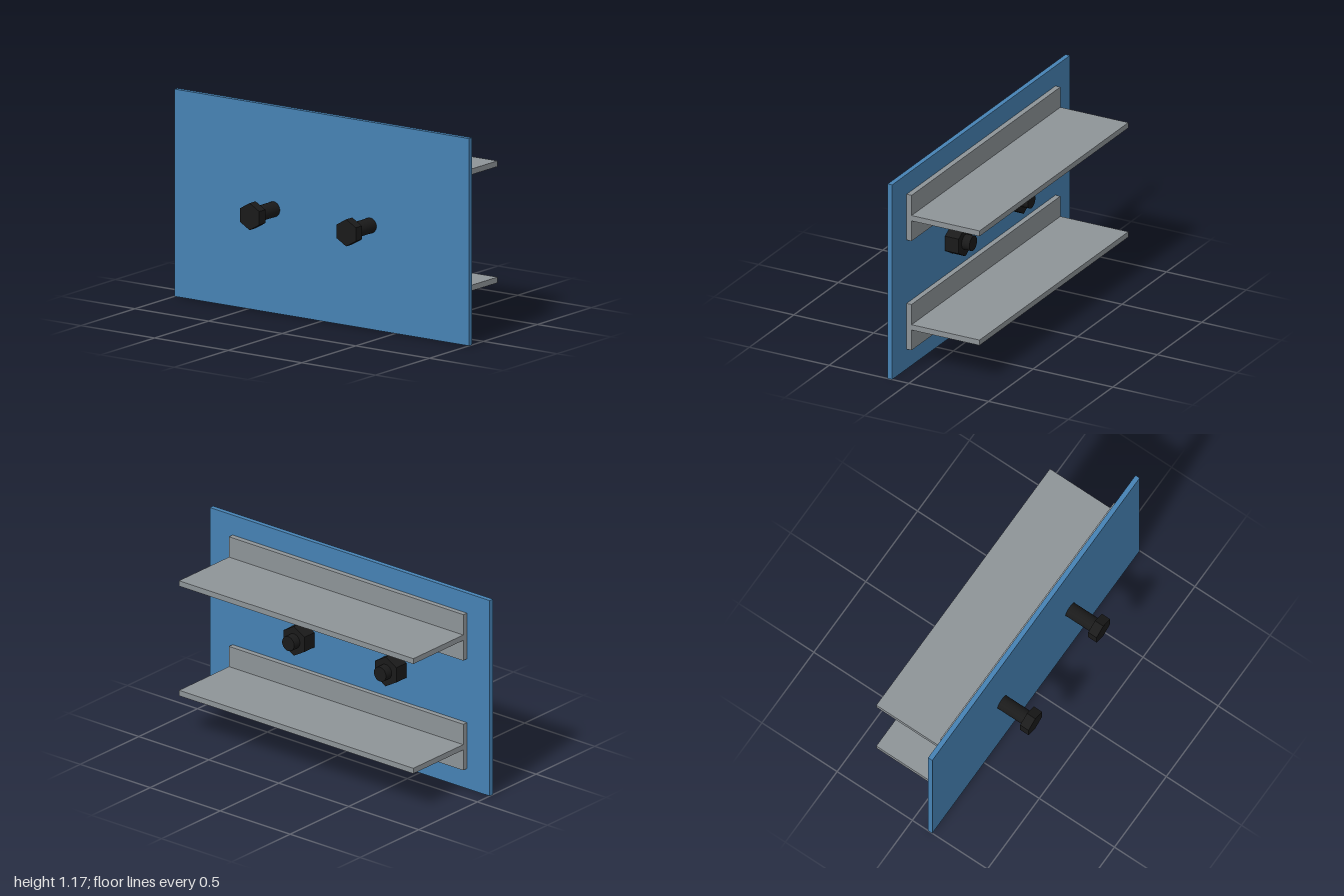
import * as THREE from 'three';

export function createModel() {
  const group = new THREE.Group();
  const blue = new THREE.MeshStandardMaterial({ color: 0x4682b4 });
  const steel = new THREE.MeshStandardMaterial({ color: 0x8e9498 });
  const black = new THREE.MeshStandardMaterial({ color: 0x1a1a1a });
  const blackFlat = new THREE.MeshStandardMaterial({ color: 0x1a1a1a, flatShading: true });

  const add = (parent, name, geometry, material) => {
    const mesh = new THREE.Mesh(geometry, material);
    mesh.name = name;
    parent.add(mesh);
    return mesh;
  };

  // Face plate
  const plateBack = 0.105, plateFront = 0.133, height = 1.166;
  add(group, 'facePlate', new THREE.BoxGeometry(2, height, plateFront - plateBack), blue)
    .position.set(0, height / 2, (plateFront + plateBack) / 2);

  // T-section rails: profile drawn as (-z, y), then extruded along x
  const railLength = 1.674, flangeHalf = 0.137, webHalf = 0.016;
  const profile = new THREE.Shape([
    [-plateBack, -flangeHalf], [-0.074, -flangeHalf], [-0.074, -webHalf], [0.352, -webHalf],
    [0.352, webHalf], [-0.074, webHalf], [-0.074, flangeHalf], [-plateBack, flangeHalf],
  ].map(([x, y]) => new THREE.Vector2(x, y)));
  const railGeometry = new THREE.ExtrudeGeometry(profile, { depth: railLength, bevelEnabled: false });
  railGeometry.translate(0, 0, -railLength / 2).rotateY(Math.PI / 2);
  for (const [name, y] of [['lowerRail', 0.256], ['upperRail', 0.91]]) {
    add(group, name, railGeometry, steel).position.y = y;
  }

  // Bolts through the plate, each a rod along z between two depths
  const rod = (radius, z0, z1, sides) =>
    new THREE.CylinderGeometry(radius, radius, z1 - z0, sides)
      .rotateX(Math.PI / 2).translate(0, 0, (z0 + z1) / 2);
  for (const [name, x] of [['rightBolt', -0.328], ['leftBolt', 0.328]]) {
    const bolt = new THREE.Group();
    bolt.name = name;
    bolt.position.set(x, 0.584, 0);
    add(bolt, 'shank', rod(0.043, -0.029, 0.3, 32), black);
    add(bolt, 'head', rod(0.076, 0.299, 0.355, 6), blackFlat);
    add(bolt, 'nut', rod(0.0875, 0.02, plateBack, 6), blackFlat);
    group.add(bolt);
  }

  return group;
}
